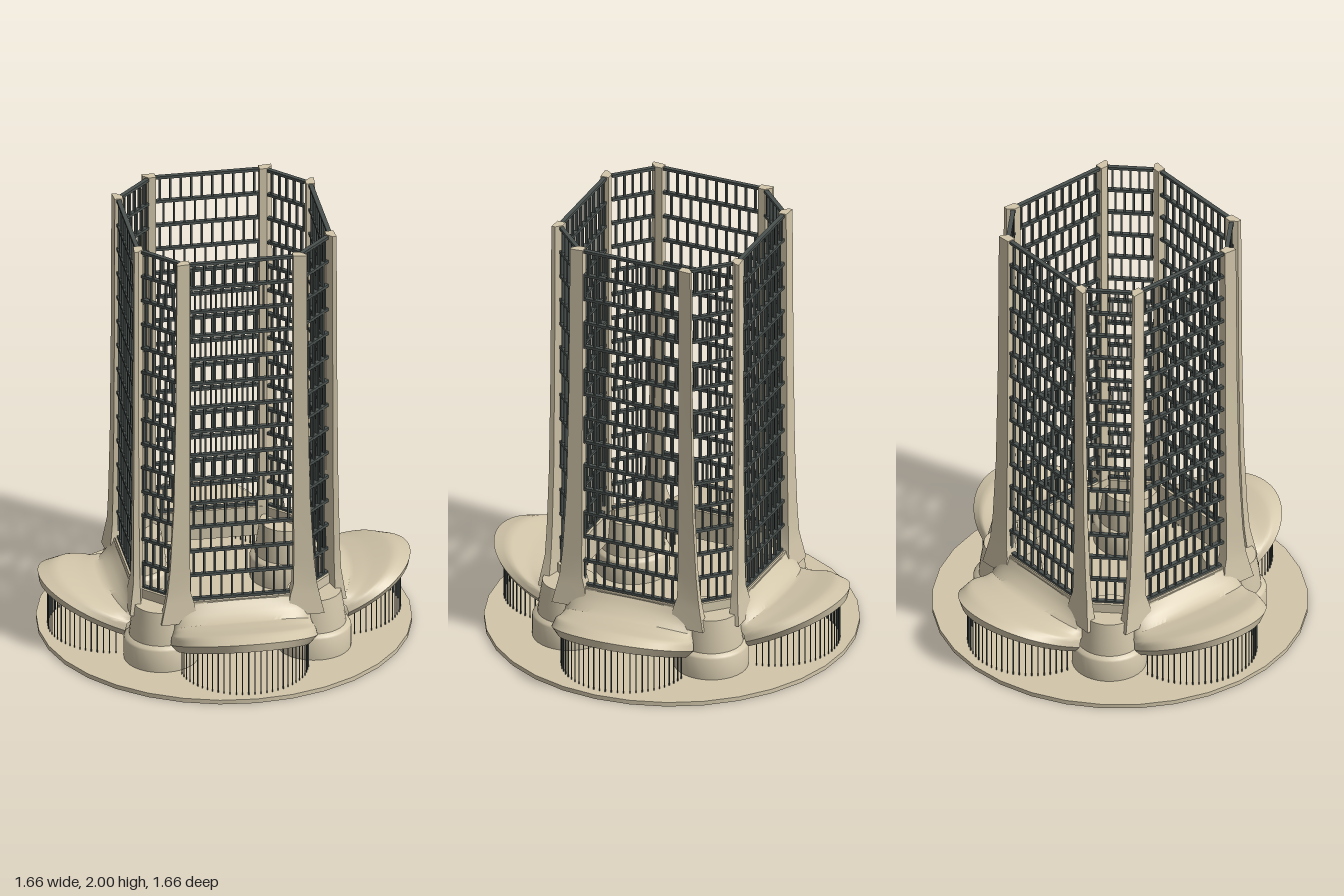
import * as THREE from 'three';
import { mergeGeometries, toCreasedNormals } from 'three/addons/utils/BufferGeometryUtils.js';

const stone = new THREE.MeshStandardMaterial({ color: 0xd2c6aa, side: THREE.DoubleSide });
const metal = new THREE.MeshStandardMaterial({ color: 0x4a524f });

function add(parent, name, geometry, material = stone) {
  const mesh = new THREE.Mesh(geometry, material);
  mesh.name = name;
  parent.add(mesh);
  return mesh;
}

function box(w, h, d, x, y, z) {
  return new THREE.BoxGeometry(w, h, d).translate(x, y, z);
}

// Skin a row of closed cross-sections, optionally capping both ends
function loft(sections, cap, crease) {
  const n = sections[0].length, index = [];
  for (let j = 0; j < sections.length - 1; j++) {
    for (let i = 0; i < n; i++) {
      const a = j * n + i, b = j * n + (i + 1) % n;
      index.push(a, b, a + n, b, b + n, a + n);
    }
  }
  if (cap) {
    const top = (sections.length - 1) * n;
    for (let i = 1; i < n - 1; i++) {
      index.push(0, i + 1, i, top, top + i, top + i + 1);
    }
  }
  const g = new THREE.BufferGeometry();
  g.setAttribute('position', new THREE.Float32BufferAttribute(sections.flat(2), 3));
  g.setIndex(index);
  return toCreasedNormals(g, crease);
}

// Window screen: rails with uprights staggered from row to row
function screenGeometry(width, cols) {
  const rows = 14, y0 = 0.335, step = (1.99 - y0) / rows, parts = [];
  for (let r = 0; r <= rows; r++) {
    const y = y0 + r * step;
    parts.push(box(width, 0.013, 0.02, 0, y, 0));
    if (r === rows) break;
    const pitch = width / cols, shift = r % 2 ? 0.5 : 0.15;
    for (let c = 0; c < cols; c++) {
      const x = -width / 2 + (c + shift) * pitch;
      parts.push(box(0.008, step, 0.014, x, y + step / 2, 0));
    }
  }
  return mergeGeometries(parts);
}

// Height of the canopy along its middle, from wall (t = 0) to lip (t = 1)
const ridge = [[0, 0.335], [0.1, 0.29], [0.25, 0.26], [0.5, 0.275], [0.8, 0.302], [1, 0.29]];
function ridgeHeight(t) {
  let k = 0;
  while (k < ridge.length - 2 && t > ridge[k + 1][0]) k++;
  const [t0, h0] = ridge[k], [t1, h1] = ridge[k + 1];
  return h0 + (h1 - h0) * (t - t0) / (t1 - t0);
}

// Point of the canopy's upper surface at fan angle a
function canopyPoint(a, t, drop = 0, inset = 1) {
  const x = (0.3 + 0.027 * t) * Math.sin(a);
  const z = 0.45 + t * (0.05 + 0.33 * Math.cos(a));
  const y = ridgeHeight(t) - 0.14 * (1 - Math.cos(a)) * Math.pow(t, 0.7);
  return [x * inset, y - drop, z];
}

function canopyGeometry() {
  const sections = [], N = 36, M = 16;
  for (let j = 0; j <= N; j++) {
    const a = -Math.PI / 2 + Math.PI * j / N, s = [];
    for (let i = 0; i <= M; i++) s.push(canopyPoint(a, i / M));
    for (let i = M; i >= 0; i--) {
      const t = i / M;
      s.push(canopyPoint(a, t * 0.985, 0.04, 1 - 0.1 * t));
    }
    sections.push(s);
  }
  return loft(sections, false, 0.7);
}

// Slender uprights standing in an arc below the canopy
function curtainGeometry() {
  const parts = [], N = 30;
  for (let i = 0; i <= N; i++) {
    const a = -1.45 + 2.9 * i / N;
    const top = canopyPoint(a, 0.87, 0.03)[1];
    parts.push(box(0.004, top - 0.02, 0.004, 0.285 * Math.sin(a), (top + 0.02) / 2, 0.5 + 0.285 * Math.cos(a)));
  }
  return mergeGeometries(parts);
}

// Five-sided tapering column, flared at the foot: y, inner x, outer x, face z
function columnGeometry() {
  const levels = [
    [0.24, 0.2, 0.365, 0.485], [0.33, 0.215, 0.345, 0.472], [0.38, 0.23, 0.335, 0.465],
    [0.5, 0.232, 0.322, 0.462], [0.8, 0.232, 0.305, 0.458], [1.3, 0.232, 0.295, 0.455], [2, 0.232, 0.29, 0.453],
  ];
  return loft(levels.map(([y, xi, xo, z]) => [
    [xi, y, 0.41], [xi, y, z - 0.005], [xo, y, z], [xo, y, 0.435], [0.265, y, 0.41],
  ]), true, 0.4);
}

export function createModel() {
  const model = new THREE.Group();
  model.name = 'tower';

  add(model, 'groundSlab', new THREE.CylinderGeometry(0.83, 0.83, 0.02, 32).translate(0, 0.01, 0));

  const wideScreen = screenGeometry(0.47, 10);
  const cornerScreen = screenGeometry(0.2, 5);
  const canopy = canopyGeometry();
  const curtain = curtainGeometry();
  const column = columnGeometry();
  const drumProfile = [[0.165, 0.02], [0.165, 0.12], [0.16, 0.128], [0.142, 0.138], [0.135, 0.2], [0.12, 0.29], [0, 0.29]];
  const drum = toCreasedNormals(
    new THREE.LatheGeometry(drumProfile.map(([r, y]) => new THREE.Vector2(r, y)), 32), 0.6);

  for (let k = 0; k < 4; k++) {
    const side = new THREE.Group();
    side.name = 'towerSide';
    side.rotation.y = k * Math.PI / 2;
    model.add(side);

    add(side, 'windowScreen', wideScreen, metal).position.z = 0.43;
    add(side, 'wallBeam', box(0.52, 0.14, 0.05, 0, 0.26, 0.433));
    add(side, 'canopy', canopy);
    add(side, 'canopyUprights', curtain, metal);
    for (const s of [-1, 1]) add(side, 'column', column).scale.x = s;

    // Corner drum carrying the diagonal screen
    const corner = new THREE.Group();
    corner.name = 'corner';
    corner.position.set(0.342, 0, 0.342);
    corner.rotation.y = Math.PI / 4;
    side.add(corner);
    add(corner, 'cornerDrum', drum);
    add(corner, 'screenSill', box(0.19, 0.05, 0.045, 0, 0.308, 0));
    add(corner, 'cornerScreen', cornerScreen, metal);
  }
  return model;
}
